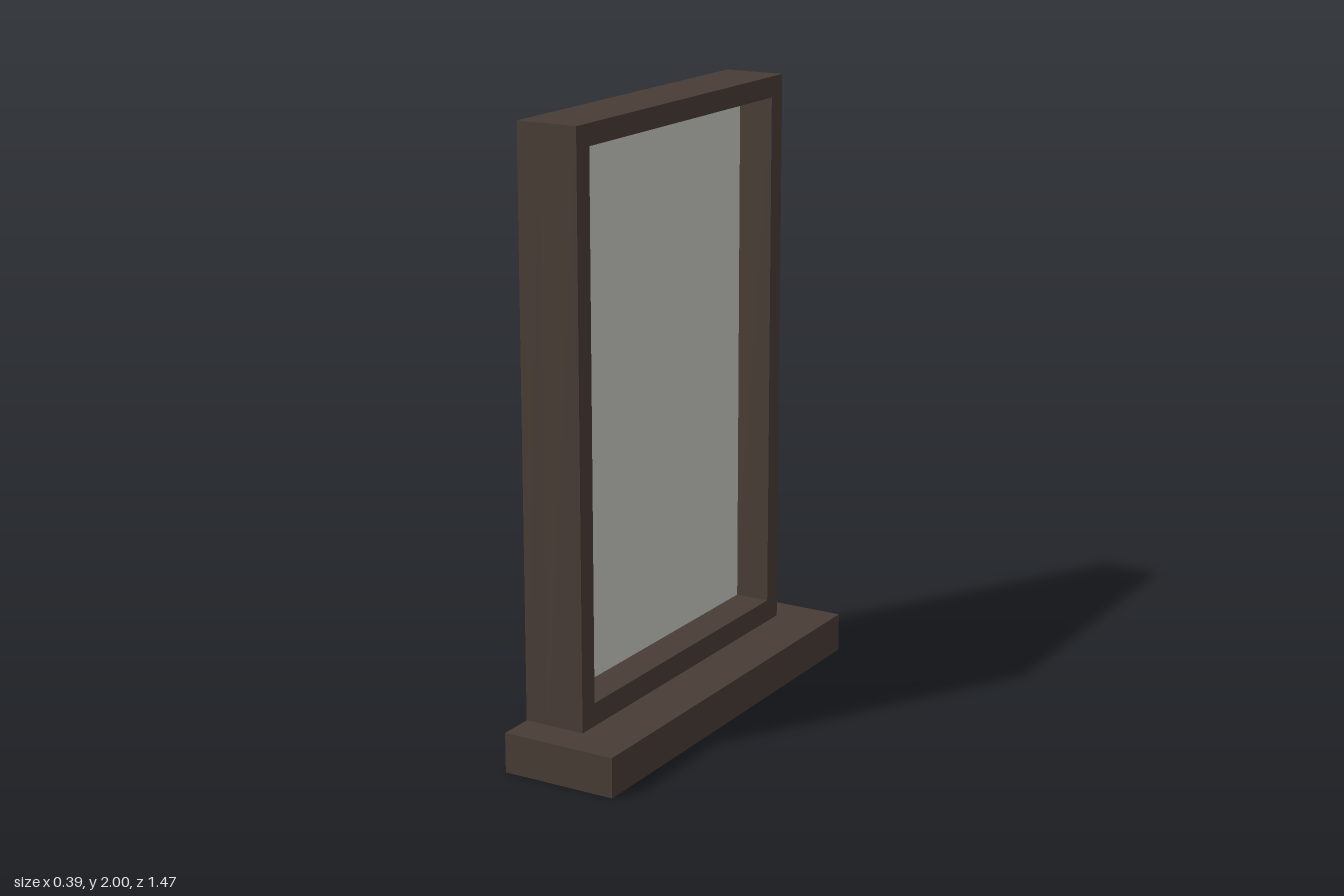
import * as THREE from 'three';

const FRAME = { back: -0.193, front: 0.013, bottom: 0.13, top: 2, halfWidth: 0.617 };
const OPENING = { bottom: 0.205, top: 1.932, halfWidth: 0.548 };
const PANE_X = -0.105; // visible face of the pane, recessed behind the frame
const PANE_THICKNESS = 0.009;

export function createModel() {
  const wood = new THREE.MeshStandardMaterial({ color: 0x483c35 });
  wood.name = 'dark brown wood';
  const glass = new THREE.MeshStandardMaterial({ color: 0xcac9c4 });
  glass.name = 'pale grey pane';

  const model = new THREE.Group();
  model.name = 'window';

  const add = (name, geometry, material) => {
    const mesh = new THREE.Mesh(geometry, material);
    mesh.name = name;
    model.add(mesh);
    return mesh;
  };
  // Box given by its x and y limits, centred on z
  const addBox = (name, material, x0, x1, y0, y1, halfWidth) => {
    const mesh = add(name, new THREE.BoxGeometry(x1 - x0, y1 - y0, halfWidth * 2), material);
    mesh.position.set((x0 + x1) / 2, (y0 + y1) / 2, 0);
  };
  const rectangle = (path, { halfWidth: w, bottom, top }) =>
    path.moveTo(-w, bottom).lineTo(w, bottom).lineTo(w, top).lineTo(-w, top).closePath();

  // Sill, wider and deeper than the frame
  addBox('sill', wood, -0.193, 0.193, 0, FRAME.bottom, 0.735);

  // Solid back of the frame
  const backFront = PANE_X - PANE_THICKNESS;
  addBox('backPanel', wood, FRAME.back, backFront, FRAME.bottom, FRAME.top, FRAME.halfWidth);

  // Frame surround with its opening, extruded towards +x
  const outline = rectangle(new THREE.Shape(), FRAME);
  outline.holes.push(rectangle(new THREE.Path(), OPENING));
  const surround = new THREE.ExtrudeGeometry(outline, { depth: FRAME.front - backFront, bevelEnabled: false });
  surround.rotateY(Math.PI / 2);
  add('frame', surround, wood).position.x = backFront;

  // Pane set deep in the opening
  addBox('pane', glass, backFront, PANE_X, OPENING.bottom, OPENING.top, OPENING.halfWidth);

  return model;
}
